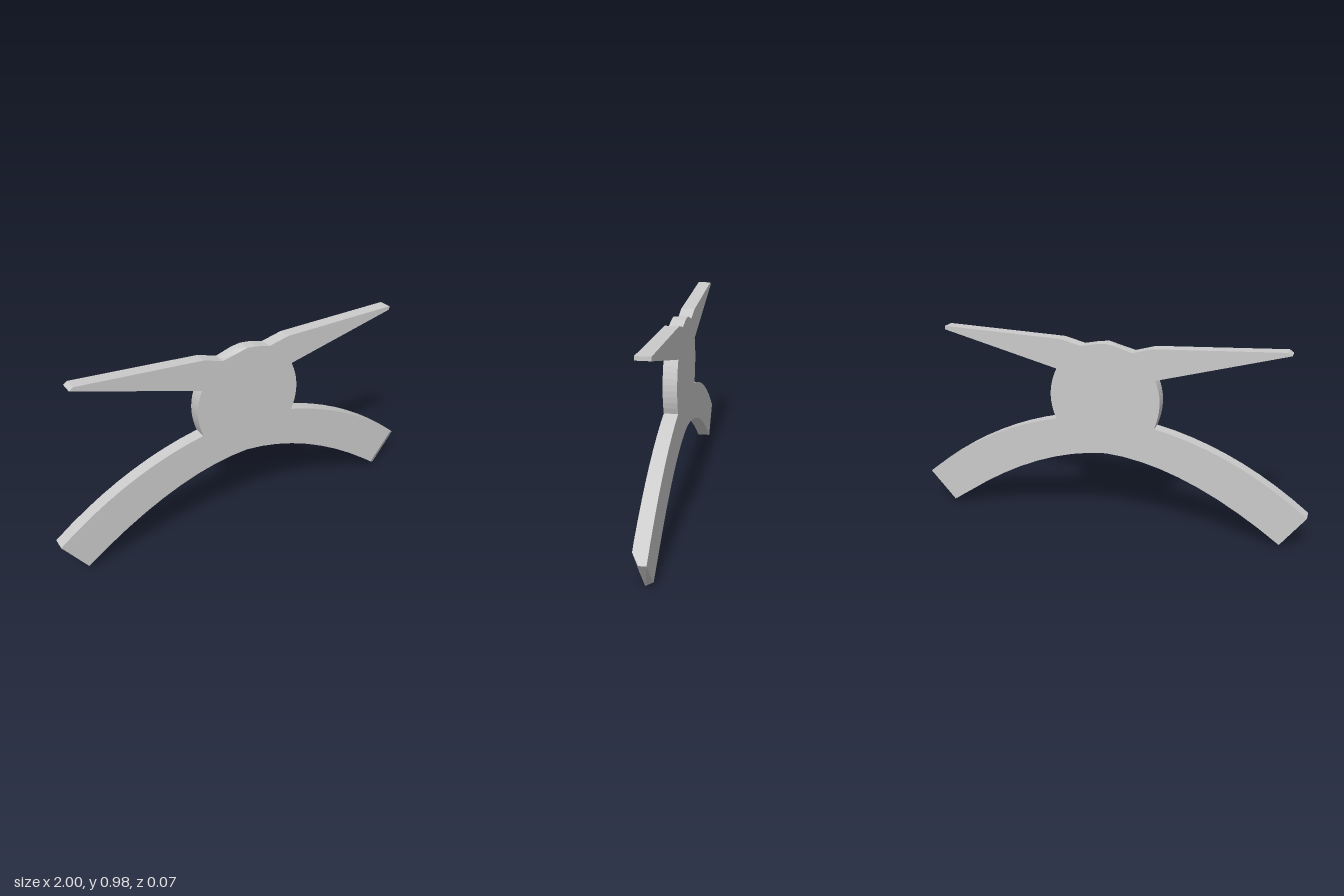
import * as THREE from 'three';

const HALF = 0.034; // half the plate thickness

// Silhouette of the plate, traced counter-clockwise from the left foot
function outline() {
  const s = new THREE.Shape();
  s.moveTo(1, 0.165);
  // left leg, outer edge, then the round waist
  s.quadraticCurveTo(0.645, 0.46, 0.262, 0.547);
  s.quadraticCurveTo(0.318, 0.68, 0.255, 0.807);
  // left arm
  s.lineTo(0.853, 0.96);
  s.lineTo(0.853, 0.978);
  s.lineTo(0.23, 0.957);
  // low bump of the head
  s.lineTo(0.125, 0.93);
  s.lineTo(0.05, 0.946);
  s.lineTo(0, 0.95);
  s.lineTo(-0.045, 0.943);
  s.lineTo(-0.13, 0.915);
  // right arm
  s.lineTo(-0.23, 0.943);
  s.lineTo(-0.85, 0.976);
  s.lineTo(-0.87, 0.962);
  s.lineTo(-0.245, 0.79);
  // waist, right leg and the arch between the feet
  s.quadraticCurveTo(-0.295, 0.68, -0.245, 0.547);
  s.quadraticCurveTo(-0.645, 0.465, -1, 0.18);
  s.lineTo(-0.88, 0.02);
  s.quadraticCurveTo(-0.4, 0.375, 0, 0.39);
  s.quadraticCurveTo(0.4, 0.37, 0.875, 0);
  s.closePath();
  return s;
}

// Worn corners: [x, y, side of plate, new x, new y]
const CHIPS = [
  [1, 0.165, 1, 0.955, 0.197],
  [0.875, 0, 1, 0.83, 0.035],
  [0.875, 0, -1, 0.866, 0.015],
  [-0.045, 0.943, 1, -0.045, 0.933],
];

export function createModel() {
  const group = new THREE.Group();
  group.name = 'figurePlate';

  const geometry = new THREE.ExtrudeGeometry(outline(), {
    depth: 2 * HALF, steps: 2, curveSegments: 9, bevelEnabled: false,
  });
  geometry.translate(0, 0, -HALF);

  const p = geometry.attributes.position;
  for (let i = 0; i < p.count; i++) {
    for (const [x, y, side, nx, ny] of CHIPS) {
      if (Math.abs(p.getX(i) - x) < 1e-4 && Math.abs(p.getY(i) - y) < 1e-4 && p.getZ(i) * side > 0.01) {
        p.setXY(i, nx, ny);
        break;
      }
    }
  }
  geometry.computeVertexNormals();

  const plate = new THREE.Mesh(geometry, new THREE.MeshStandardMaterial({ color: 0xcccccc, flatShading: true }));
  plate.name = 'bodyWithArmsAndLegs';
  group.add(plate);
  return group;
}
